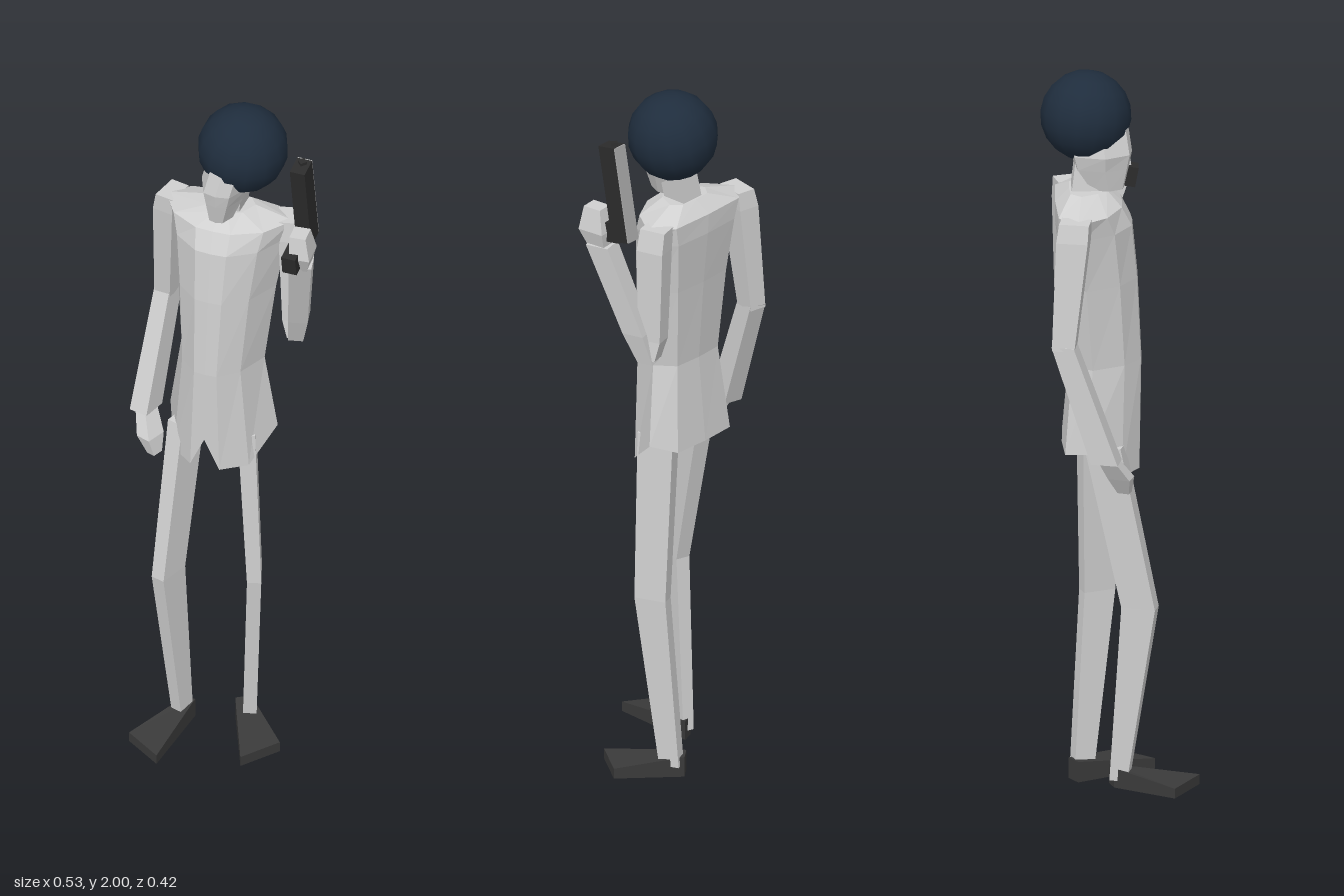
import * as THREE from 'three';

const material = (name, color, flat = true) => {
  const m = new THREE.MeshStandardMaterial({ color, flatShading: flat });
  m.name = name;
  return m;
};

// Joins horizontal-ish rings (listed bottom to top, each turning from +z to +x) and caps both ends.
function loft(name, rings, mat) {
  const n = rings[0].length, pos = [];
  const tri = (...p) => p.forEach(v => pos.push(...v));
  for (let r = 0; r < rings.length - 1; r++) {
    const a = rings[r], b = rings[r + 1];
    for (let i = 0; i < n; i++) {
      const j = (i + 1) % n;
      tri(a[i], a[j], b[j]);
      tri(a[i], b[j], b[i]);
    }
  }
  const low = rings[0], top = rings[rings.length - 1];
  for (let i = 1; i < n - 1; i++) {
    tri(low[0], low[i + 1], low[i]);
    tri(top[0], top[i], top[i + 1]);
  }
  const g = new THREE.BufferGeometry();
  g.setAttribute('position', new THREE.Float32BufferAttribute(pos, 3));
  g.computeVertexNormals();
  const mesh = new THREE.Mesh(g, mat);
  mesh.name = name;
  return mesh;
}

// Four-sided limb: sections are [x, y, z, halfWidth, halfDepth], turned by yaw.
const limb = (name, sections, yaw, mat) => {
  const c = Math.cos(yaw), s = Math.sin(yaw);
  return loft(name, sections.map(([x, y, z, w, d]) =>
    [[-w, d], [w, d], [w, -d], [-w, -d]].map(([u, v]) => [x + u * c + v * s, y, z - u * s + v * c])), mat);
};

// Mirrors half an outline [across, forward] into a full closed ring.
const mirrored = half => [...half, ...half.slice(1, -1).reverse().map(([u, v, h]) => [-u, v, h])];

// Fits an outline to [y, centreX, halfWidth, frontZ, backZ]; hem scales the outline's own lift.
const ring = (outline, [y, cx, w, zf, zb], hem = 0) => outline.map(([u, v, h = 0]) =>
  [cx + u * w, y + h * hem, (zf + zb) / 2 + v * (zf - zb) / 2]);

// Shoe: heel pair narrow, toe pair wide; the toe is thinner than the heel.
const shoe = (name, [toeL, heelL, heelR, toeR], y, h, mat) => loft(name, [
  [toeR, toeL, heelL, heelR].map(([x, z]) => [x, y, z]),
  [toeR, toeL, heelL, heelR].map(([x, z], i) => [x, y + (i < 2 ? h * 0.5 : h), z]),
], mat);

export function createModel() {
  const model = new THREE.Group();
  model.name = 'suitedFigure';
  const pale = material('paleGrey', 0xd0d0d0);
  const shoeMat = material('shoeCharcoal', 0x3a3a3a);
  const gunMat = material('gunBlack', 0x2c2c2c);
  const steel = material('gunSteel', 0xa8a8a8);
  const hairMat = material('hairNavy', 0x1f2d3d, false);

  // Long jacket with a notched front hem
  const body = mirrored([[0, 1, 1], [0.27, 0.97, 0], [0.7, 0.5, 0], [1, -0.4, 0.9], [0.68, -0.95, 0.7], [0, -1, 0.7]]);
  model.add(loft('jacket', [
    [0.915, -0.025, 0.152, 0.052, -0.155],
    [1.22, -0.022, 0.118, 0.056, -0.135],
    [1.45, -0.018, 0.14, 0.046, -0.155],
    [1.6, -0.016, 0.163, 0.032, -0.172],
    [1.655, -0.02, 0.182, 0.005, -0.172],
    [1.69, -0.01, 0.07, -0.035, -0.135],
  ].map((s, i) => ring(body, s, i ? 0 : 0.09)), pale));

  // Neck and head
  model.add(limb('neck', [[-0.01, 1.64, -0.1, 0.035, 0.035], [0.01, 1.8, -0.08, 0.035, 0.035]], 0, pale));
  const skull = mirrored([[0, 1], [0.55, 0.9], [1, 0.1], [0.7, -0.9], [0, -1]]);
  model.add(loft('head', [
    [1.69, -0.01, 0.034, 0.01, -0.08],
    [1.75, -0.005, 0.053, 0.024, -0.12],
    [1.79, -0.002, 0.066, 0.032, -0.13],
    [1.86, 0.014, 0.066, 0.022, -0.14],
  ].map(s => ring(skull, s)), pale));
  const hair = new THREE.Mesh(new THREE.SphereGeometry(0.121, 14, 10), hairMat);
  hair.name = 'roundHair';
  hair.position.set(0.03, 1.88, -0.089);
  hair.rotation.set(0.15, 0.2, -0.2);
  model.add(hair);

  // Right arm hanging down, slightly bent
  model.add(limb('rightUpperArm', [
    [-0.208, 1.31, -0.155, 0.024, 0.03], [-0.19, 1.61, -0.13, 0.03, 0.042], [-0.185, 1.66, -0.125, 0.026, 0.04],
  ], -0.2, pale));
  model.add(limb('rightForearm', [
    [-0.228, 0.995, -0.045, 0.027, 0.036], [-0.208, 1.32, -0.155, 0.024, 0.03],
  ], -0.25, pale));
  model.add(limb('rightHand', [
    [-0.184, 0.892, 0.005, 0.012, 0.016], [-0.2, 0.94, -0.005, 0.021, 0.03], [-0.225, 1.0, -0.04, 0.017, 0.024],
  ], -0.35, pale));

  // Left arm folded upward
  model.add(limb('leftUpperArm', [
    [0.165, 1.285, -0.125, 0.02, 0.026], [0.155, 1.34, -0.13, 0.024, 0.032],
    [0.15, 1.6, -0.13, 0.028, 0.038], [0.14, 1.66, -0.13, 0.026, 0.036],
  ], 0.25, pale));
  model.add(limb('leftForearm', [
    [0.168, 1.275, -0.125, 0.02, 0.022], [0.185, 1.36, -0.1, 0.026, 0.03], [0.226, 1.61, -0.012, 0.03, 0.032],
  ], 0.25, pale));
  model.add(limb('leftHand', [
    [0.226, 1.6, -0.01, 0.022, 0.025], [0.234, 1.65, 0, 0.028, 0.038], [0.228, 1.715, 0.004, 0.022, 0.026],
  ], 0.1, pale));

  // Pistol held upright, with a steel strip along its back
  const pistol = new THREE.Group();
  pistol.name = 'pistol';
  pistol.position.set(0.215, 1.77, -0.06);
  pistol.rotation.x = 0.18;
  const box = (name, w, h, d, x, y, z, mat) => {
    const m = new THREE.Mesh(new THREE.BoxGeometry(w, h, d), mat);
    m.name = name;
    m.position.set(x, y, z);
    pistol.add(m);
    return m;
  };
  box('slide', 0.042, 0.27, 0.055, 0, 0, 0, gunMat);
  box('slideStrip', 0.041, 0.268, 0.004, 0, 0, -0.029, steel);
  box('grip', 0.04, 0.055, 0.13, 0, -0.112, 0.07, gunMat);
  box('muzzle', 0.018, 0.012, 0.018, 0, 0.138, -0.012, gunMat).rotation.y = Math.PI / 4;
  model.add(pistol);

  // Trouser legs, right knee forward
  model.add(limb('rightLeg', [
    [-0.108, 0.05, -0.005, 0.016, 0.024], [-0.128, 0.545, 0.048, 0.02, 0.046], [-0.112, 1.0, -0.045, 0.024, 0.05],
  ], -0.3, pale));
  model.add(limb('leftLeg', [
    [0.046, 0.03, -0.098, 0.018, 0.028], [0.075, 0.52, -0.057, 0.019, 0.044], [0.053, 1.0, -0.058, 0.023, 0.05],
  ], 0.35, pale));

  // Wedge shoes turned outward
  model.add(shoe('rightShoe', [[-0.1, 0.207], [-0.083, -0.032], [-0.118, -0.02], [-0.205, 0.137]], 0.03, 0.055, shoeMat));
  model.add(shoe('leftShoe', [[0.168, -0.003], [0.035, -0.135], [0, -0.11], [0.095, 0.097]], 0, 0.058, shoeMat));

  return model;
}
